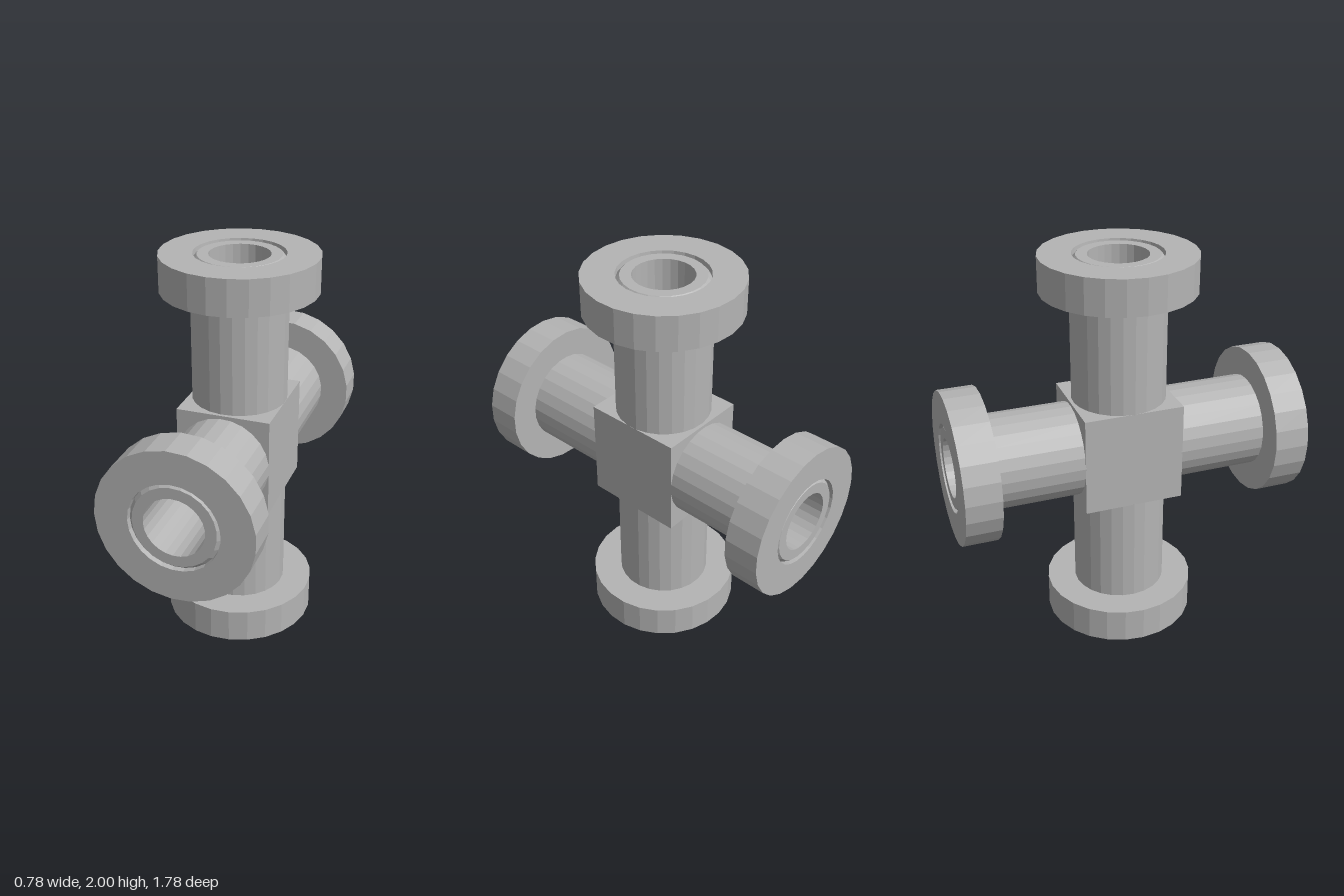
import * as THREE from 'three';

const SIDES = 25;
const BORE = 0.15, PIPE = 0.241, FLANGE = 0.39, FLANGE_THICK = 0.18;
const HALF_X = 0.24, HALF = 0.257; // centre block half sizes

// One flanged pipe along +y, hollow, with a sealing groove in its end face.
function pipeGeometry(length) {
  const profile = [
    [PIPE, HALF - 0.005],
    [PIPE, length - FLANGE_THICK],
    [FLANGE, length - FLANGE_THICK],
    [FLANGE, length],
    [0.225, length],
    [0.222, length - 0.025],
    [0.205, length - 0.006],
    [BORE, length - 0.006],
    [BORE, 0],
  ].map(([r, y]) => new THREE.Vector2(r, y));
  const lathe = new THREE.LatheGeometry(profile, SIDES, -Math.PI / 2);
  // Mitre the inner end so that the crossing bores meet without blocking each other.
  const pos = lathe.attributes.position;
  for (let i = 0; i < pos.count; i++) {
    if (pos.getY(i) < 0.001) pos.setY(i, Math.abs(pos.getZ(i)));
  }
  const flat = lathe.toNonIndexed();
  flat.computeVertexNormals();
  return flat;
}

// Block face pierced by the pipe, facing +y.
function piercedFace() {
  const shape = new THREE.Shape();
  shape.moveTo(-HALF_X, -HALF);
  shape.lineTo(HALF_X, -HALF);
  shape.lineTo(HALF_X, HALF);
  shape.lineTo(-HALF_X, HALF);
  const hole = new THREE.Path();
  hole.absarc(0, 0, 0.19, 0, Math.PI * 2, true);
  shape.holes.push(hole);
  return new THREE.ShapeGeometry(shape, SIDES).rotateX(-Math.PI / 2).translate(0, HALF, 0);
}

export function createModel() {
  const model = new THREE.Group();
  model.name = 'fourWayPipeCross';
  const steel = new THREE.MeshStandardMaterial({ color: 0xb4b4b4 });
  steel.name = 'steel grey';

  const add = (parent, name, geometry) => {
    const mesh = new THREE.Mesh(geometry, steel);
    mesh.name = name;
    parent.add(mesh);
  };

  // Four arms around the x axis: up, front, down, back
  ['top', 'front', 'bottom', 'back'].forEach((side, i) => {
    const arm = new THREE.Group();
    arm.name = side + 'Arm';
    add(arm, side + 'FlangedPipe', pipeGeometry(i % 2 ? 0.89 : 1));
    add(arm, side + 'BlockFace', piercedFace());
    arm.rotation.x = i * Math.PI / 2;
    arm.position.y = 1;
    model.add(arm);
  });

  // Closed sides of the centre block
  for (const s of [1, -1]) {
    const plate = new THREE.PlaneGeometry(2 * HALF, 2 * HALF);
    plate.rotateY(s * Math.PI / 2).translate(s * HALF_X, 1, 0);
    add(model, s > 0 ? 'leftBlockFace' : 'rightBlockFace', plate);
  }
  return model;
}
